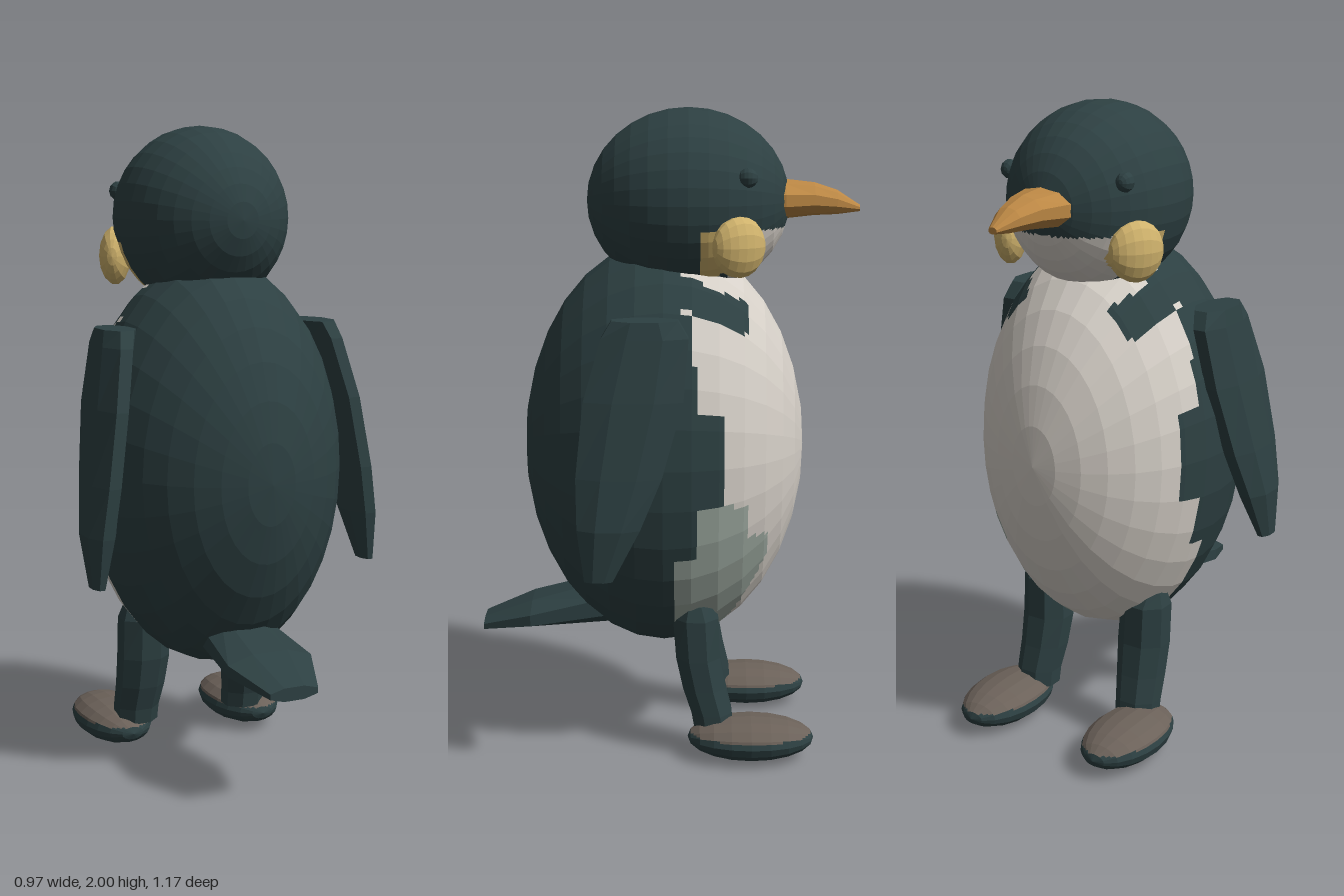
import * as THREE from 'three';

const mat = (name, color, doubleSide) => {
  const m = new THREE.MeshStandardMaterial({ color, flatShading: true });
  m.name = name;
  return m;
};

export function createModel() {
  const model = new THREE.Group();
  model.name = 'penguin';
  const dark = mat('darkPlumage', 0x2d4042);
  const cream = mat('creamPlumage', 0xd6d0c8);
  const grey = mat('greyGreenPlumage', 0x9ca89f);
  const yellow = mat('yellowCheek', 0xcfb26c);
  const orange = mat('orangeBeak', 0xbb8744);
  const brown = mat('brownFoot', 0x6b6159);

  const add = (name, geometry, material) => {
    const mesh = new THREE.Mesh(geometry, material);
    mesh.name = name;
    model.add(mesh);
    return mesh;
  };

  // Faceted ellipsoid with poles along z. Each facet is split sub x sub,
  // and paint(x, y, z) picks the material index of every small face.
  function ellipsoid([cx, cy, cz], [rx, ry, rz], around, rings, sub = 1, paint = () => 0) {
    const point = (i, j) => {
      const t = (i / rings) * Math.PI, p = (j / around) * Math.PI * 2;
      return new THREE.Vector3(cx + rx * Math.sin(t) * Math.cos(p),
        cy + ry * Math.sin(t) * Math.sin(p), cz - rz * Math.cos(t));
    };
    const buckets = [];
    for (let i = 0; i < rings; i++) for (let j = 0; j < around; j++) {
      const a = point(i, j), b = point(i, j + 1), c = point(i + 1, j), d = point(i + 1, j + 1);
      const mix = (u, v) => a.clone().lerp(b, u).lerp(c.clone().lerp(d, u), v);
      for (let m = 0; m < sub; m++) for (let n = 0; n < sub; n++) {
        const u0 = m / sub, u1 = (m + 1) / sub, v0 = n / sub, v1 = (n + 1) / sub;
        const mid = mix((u0 + u1) / 2, (v0 + v1) / 2);
        const k = paint(mid.x, mid.y, mid.z);
        const [p, q, r, s] = [mix(u0, v0), mix(u1, v0), mix(u0, v1), mix(u1, v1)];
        (buckets[k] ??= []).push(p, q, s, p, s, r);
      }
    }
    const geometry = new THREE.BufferGeometry().setFromPoints(buckets.flat());
    let start = 0;
    buckets.forEach((list, k) => {
      geometry.addGroup(start, list.length, k);
      start += list.length;
    });
    geometry.computeVertexNormals();
    return geometry;
  }

  // Loft through elliptical rings [x, y, z, rx, r2], listed in rising order along the axis
  function loft(axis, rings, sides = 8) {
    const pos = [], index = [], last = (rings.length - 1) * sides;
    for (const [x, y, z, rx, r2] of rings) for (let j = 0; j < sides; j++) {
      const a = ((j + 0.5) / sides) * Math.PI * 2, c = Math.cos(a), s = Math.sin(a);
      if (axis === 'z') pos.push(x + rx * c, y + r2 * s, z);
      else pos.push(x + rx * s, y, z + r2 * c);
    }
    for (let i = 0; i < last; i += sides) for (let j = 0; j < sides; j++) {
      const k = (j + 1) % sides;
      index.push(i + j, i + k, i + sides + k, i + j, i + sides + k, i + sides + j);
    }
    for (let j = 1; j < sides - 1; j++) {
      index.push(0, j + 1, j, last, last + j, last + j + 1);
    }
    const geometry = new THREE.BufferGeometry();
    geometry.setAttribute('position', new THREE.Float32BufferAttribute(pos, 3));
    geometry.setIndex(index);
    const flat = geometry.toNonIndexed();
    flat.computeVertexNormals();
    return flat;
  }

  // Body: cream belly with a stepped edge, dark shoulder straps, one grey flank
  const bellyEdges = [[1.4, -0.04], [1.27, -0.08], [1.12, -0.1], [0.84, -0.18], [0.67, -0.1], [0, -0.03]];
  const paintBody = (x, y, z) => {
    const edge = bellyEdges.find(([low]) => y > low)[1];
    if (z > edge) return 0;
    const onStrap = Math.abs(y - (1.49 + 0.44 * z)) < 0.045;
    if (onStrap && z > -0.25 && Math.abs(x) > 0.15) return 0;
    const greyFront = y > 0.73 ? -0.25 : -0.31 + Math.max(0, 0.65 - y) * 0.5;
    if (x > 0.04 && y < 0.84 && z > greyFront) return 2;
    return 1;
  };
  add('body', ellipsoid([0, 0.96, 0.008], [0.4, 0.64, 0.436], 32, 16, 5, paintBody), [dark, cream, grey]);

  // Head: cream chin between yellow cheek patches
  const paintHead = (x, y, z) => {
    if (y > 1.645 || z > -0.1) return 0;
    if (Math.abs(x) > 0.15 && z > -0.27) return 2;
    return z < -0.18 ? 1 : 0;
  };
  add('head', ellipsoid([0, 1.72, -0.065], [0.265, 0.28, 0.31], 32, 16, 5, paintHead), [dark, cream, yellow]);

  // Beak
  add('beak', loft('z', [
    [0, 1.697, -0.59, 0.015, 0.01],
    [0, 1.715, -0.52, 0.046, 0.037],
    [0, 1.725, -0.45, 0.07, 0.05],
    [0, 1.725, -0.36, 0.1, 0.06],
    [0, 1.725, -0.3, 0.1, 0.06],
  ], 10), orange);

  // Tail
  add('tail', loft('z', [
    [0, 0.45, 0.18, 0.12, 0.075],
    [0, 0.41, 0.43, 0.15, 0.046],
    [0, 0.37, 0.585, 0.085, 0.022],
  ]), dark);

  // Paired parts
  for (const s of [1, -1]) {
    const side = s > 0 ? 'left' : 'right';
    const mirrored = (rings) => rings.map(([x, ...rest]) => [x * s, ...rest]);

    add(side + 'Eye', ellipsoid([0.203 * s, 1.8, -0.24], [0.028, 0.03, 0.03], 10, 8), dark);

    const cheek = add(side + 'Cheek', ellipsoid([0, 0, 0], [0.05, 0.092, 0.086], 14, 10), yellow);
    cheek.position.set(0.225 * s, 1.6, -0.215);
    cheek.rotation.y = 0.5 * s;

    add(side + 'Flipper', loft('y', mirrored([
      [0.457, 0.645, 0.195, 0.022, 0.045],
      [0.443, 0.8, 0.165, 0.048, 0.1],
      [0.422, 0.95, 0.135, 0.05, 0.136],
      [0.388, 1.17, 0.093, 0.05, 0.158],
      [0.352, 1.35, 0.06, 0.052, 0.138],
      [0.338, 1.4, 0.06, 0.056, 0.105],
    ])), dark);

    add(side + 'Leg', loft('y', mirrored([
      [0.195, 0.09, -0.15, 0.072, 0.066],
      [0.195, 0.14, -0.143, 0.074, 0.068],
      [0.19, 0.22, -0.12, 0.08, 0.072],
      [0.187, 0.32, -0.1, 0.086, 0.074],
      [0.19, 0.45, -0.092, 0.082, 0.076],
      [0.205, 0.495, -0.09, 0.05, 0.05],
    ])), dark);

    const paintFoot = (x, y) => (y > 0.085 ? 1 : 0);
    add(side + 'Foot', ellipsoid([0.235 * s, 0.067, -0.265], [0.118, 0.067, 0.197], 16, 10, 3, paintFoot), [dark, brown]);
  }

  return model;
}
